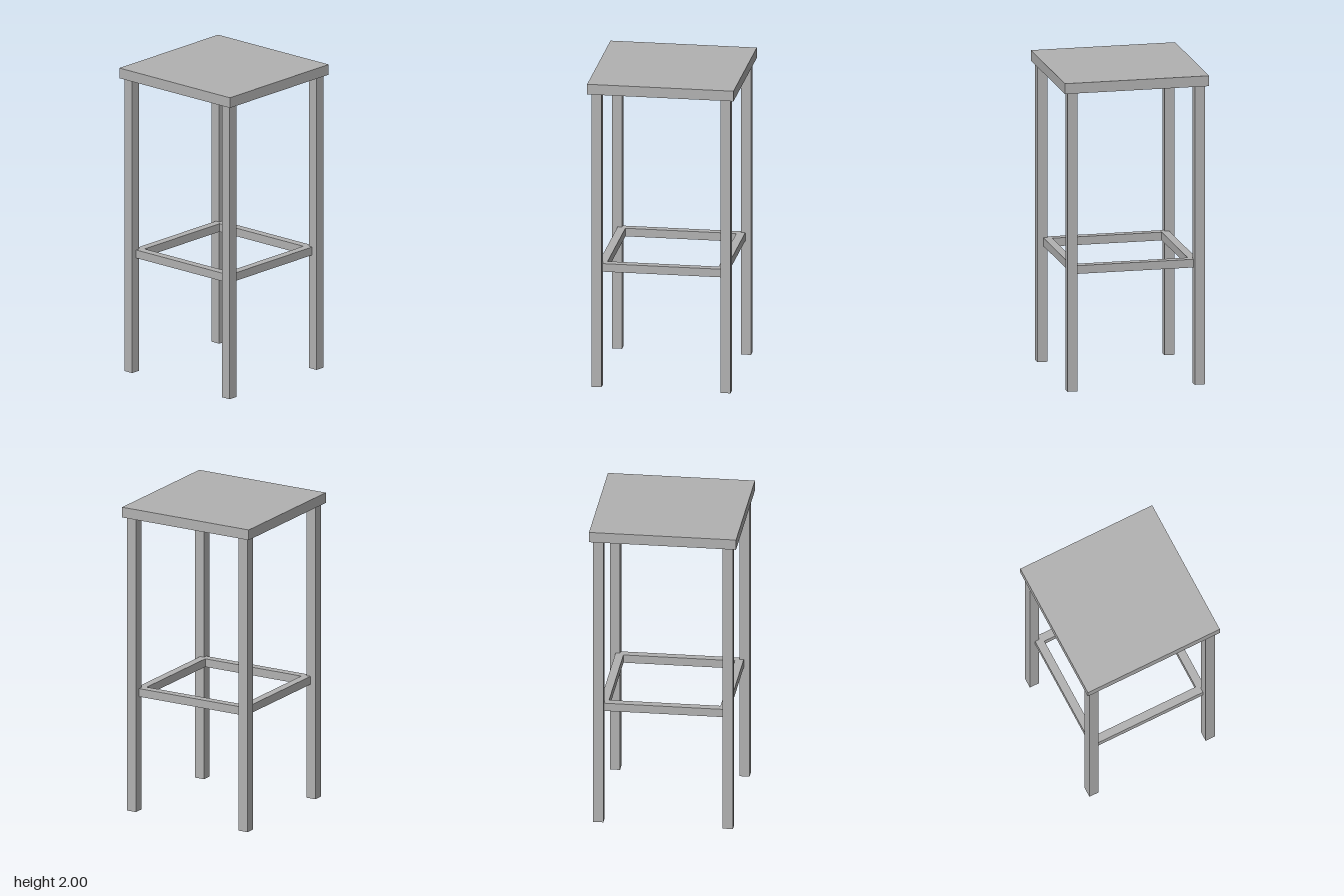
import * as THREE from 'three';

const SEAT = 0.933, SEAT_H = 0.067;   // seat slab
const LEG = 0.065, LEG_POS = 0.411;   // square legs
const RAIL = 0.053, RAIL_POS = 0.38, RAIL_Y = 0.777; // footrest ring

export function createModel() {
  const stool = new THREE.Group();
  stool.name = 'barStool';

  const grey = new THREE.MeshStandardMaterial({ color: 0xb2b2b2 });
  grey.name = 'grey';

  const addBox = (name, w, h, d, x, y, z) => {
    const mesh = new THREE.Mesh(new THREE.BoxGeometry(w, h, d), grey);
    mesh.name = name;
    mesh.position.set(x, y, z);
    stool.add(mesh);
  };

  // Square seat
  addBox('seat', SEAT, SEAT_H, SEAT, 0, 2 - SEAT_H / 2, 0);

  // Four straight legs reaching the underside of the seat
  const legH = 2 - SEAT_H;
  for (const [zName, z] of [['front', 1], ['back', -1]]) {
    for (const [xName, x] of [['Left', 1], ['Right', -1]]) {
      addBox(`${zName}${xName}Leg`, LEG, legH, LEG, x * LEG_POS, legH / 2, z * LEG_POS);
    }
  }

  // Footrest rails, set on the inner faces of the legs
  const long = 2 * RAIL_POS + RAIL, short = 2 * RAIL_POS - RAIL;
  addBox('frontRail', long, RAIL, RAIL, 0, RAIL_Y, RAIL_POS);
  addBox('backRail', long, RAIL, RAIL, 0, RAIL_Y, -RAIL_POS);
  addBox('leftRail', RAIL, RAIL, short, RAIL_POS, RAIL_Y, 0);
  addBox('rightRail', RAIL, RAIL, short, -RAIL_POS, RAIL_Y, 0);

  return stool;
}
